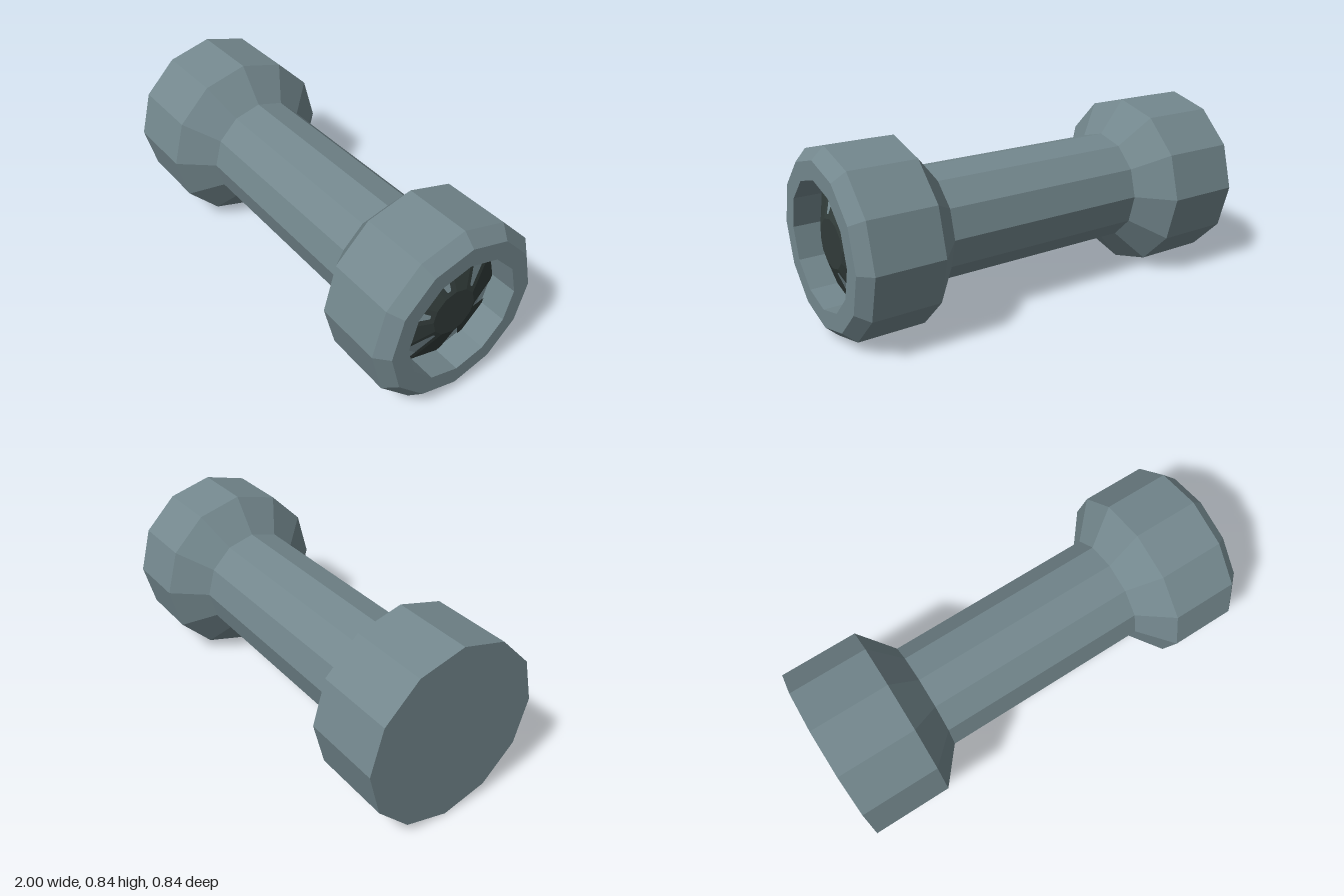
import * as THREE from 'three';

const SIDES = 12;
const CENTRE_Y = 0.421;

// Twelve-sided solid of revolution about the x axis; points are [radius, x].
function turned(name, points, material) {
  const profile = points.map(([r, x]) => new THREE.Vector2(r, x));
  const geometry = new THREE.LatheGeometry(profile, SIDES);
  geometry.rotateZ(-Math.PI / 2);
  const mesh = new THREE.Mesh(geometry, material);
  mesh.name = name;
  return mesh;
}

// One vane: a cone facet widened by a constant strip along each side.
function vaneGeometry(angle, inner, outer, strip) {
  const step = (Math.PI * 2) / SIDES;
  const corner = (r, x, a) => new THREE.Vector3(x, r * Math.sin(a), -r * Math.cos(a));
  const row = ([r, x]) => {
    const [before, start, end, after] = [-1, 0, 1, 2].map((k) => corner(r, x, angle + k * step));
    const widen = (from, to) => from.clone().add(to.clone().sub(from).setLength(strip));
    return [widen(start, before), start, end, widen(end, after)];
  };
  const points = [...row(inner), ...row(outer)];
  const index = [];
  for (let i = 0; i < 3; i++) index.push(i, i + 4, i + 5, i, i + 5, i + 1);
  const geometry = new THREE.BufferGeometry().setFromPoints(points);
  geometry.setIndex(index);
  geometry.computeVertexNormals();
  return geometry;
}

export function createModel() {
  const slate = new THREE.MeshStandardMaterial({ color: 0x73878d, flatShading: true });
  slate.name = 'slate';
  const charcoal = new THREE.MeshStandardMaterial({ color: 0x313b39, flatShading: true, side: THREE.DoubleSide });
  charcoal.name = 'charcoal';

  const model = new THREE.Group();
  model.name = 'flaredCylinder';
  const axis = new THREE.Group();
  axis.name = 'body';
  axis.position.y = CENTRE_Y;
  model.add(axis);

  // Closed end and its flare
  axis.add(turned('closedEnd', [[0, -1], [0.421, -1], [0.421, -0.635], [0.263, -0.505]], slate));
  // Narrow middle
  axis.add(turned('shaft', [[0.263, -0.505], [0.263, 0.505]], slate));
  // Open end: flare, bevelled rim, recess and the cone at its bottom
  axis.add(turned('openEnd', [
    [0.263, 0.505], [0.421, 0.635], [0.421, 0.945], [0.368, 1], [0.285, 1],
    [0.285, 0.87], [0.255, 0.87], [0.11, 0.94], [0, 0.94],
  ], slate));

  // Dark hub and six vanes over the cone
  const fan = new THREE.Group();
  fan.name = 'fan';
  axis.add(fan);
  fan.add(turned('hub', [[0.13, 0.937], [0.11, 0.945], [0, 0.945]], charcoal));
  for (let i = 0; i < 6; i++) {
    const angle = Math.PI / 3 + (i * Math.PI) / 3;
    const vane = new THREE.Mesh(vaneGeometry(angle, [0.11, 0.945], [0.2845, 0.875], 0.025), charcoal);
    vane.name = 'vane' + (i + 1);
    fan.add(vane);
  }
  return model;
}
